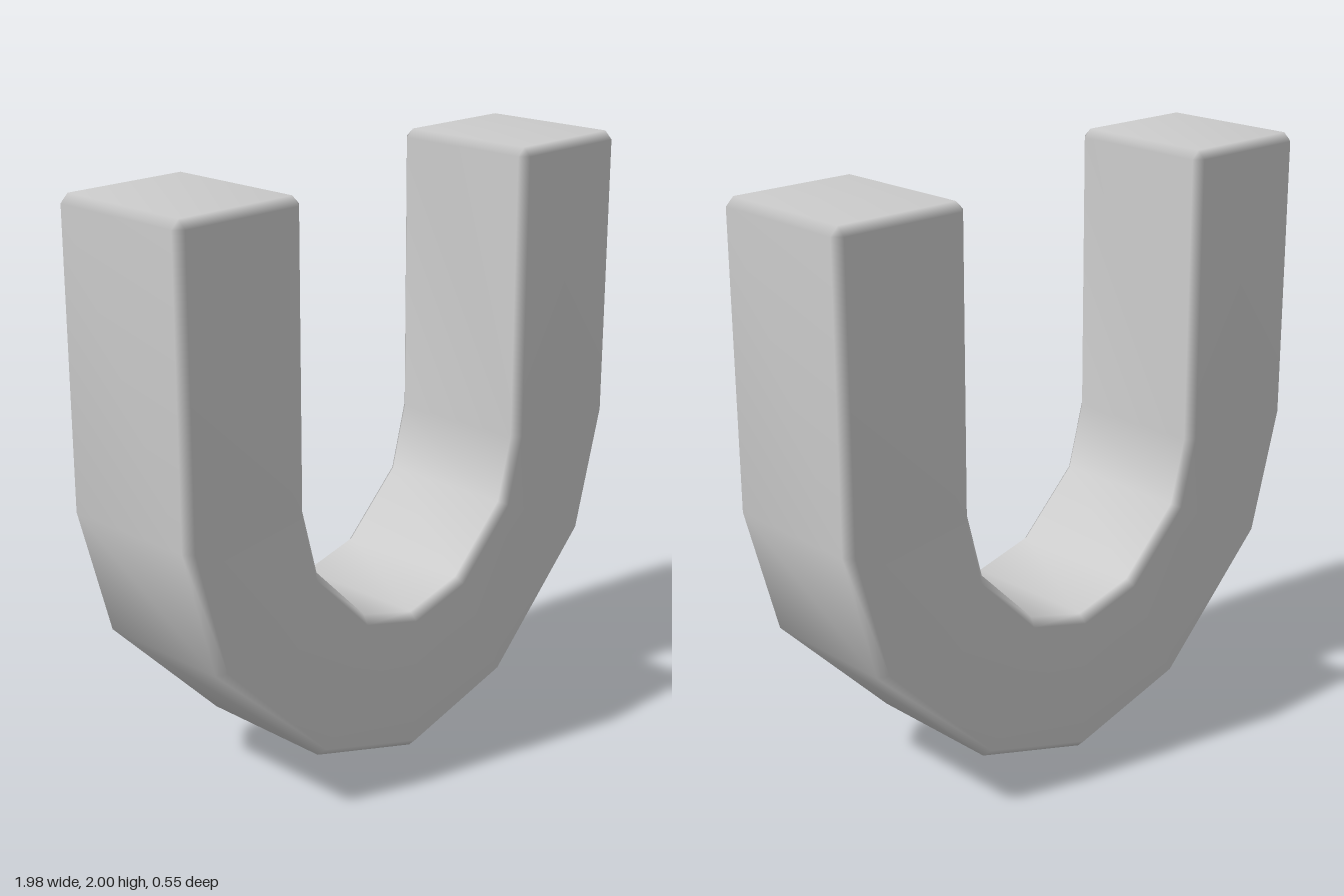
import * as THREE from 'three';
import { mergeVertices } from 'three/addons/utils/BufferGeometryUtils.js';

const DEPTH = 0.277; // half depth
const BEVEL = 0.028;
const TOP = 2;

// Stations down the +x arm to the bottom: [outer x, outer y, inner x, inner y]
const half = [
  [0.992, TOP - BEVEL, 0.5, TOP - BEVEL],
  [0.992, 1, 0.5, 1],
  [0.873, 0.563, 0.44, 0.777],
  [0.441, 0.13, 0.224, 0.562],
  [0, 0, 0, 0.502],
];

// Chamfered rectangular section spanning inner to outer point
function section([ox, oy, ix, iy]) {
  const o = new THREE.Vector2(ox, oy), i = new THREE.Vector2(ix, iy);
  const inset = o.clone().sub(i).setLength(BEVEL);
  const o2 = o.clone().sub(inset), i2 = i.clone().add(inset);
  const d = DEPTH, e = DEPTH - BEVEL;
  return [[o, -e], [o, e], [o2, d], [i2, d], [i, e], [i, -e], [i2, -d], [o2, -d]]
    .map(([p, z]) => [p.x, p.y, z]);
}

// End section: the same eight points drawn in to a smaller rectangle
function endSection(side) {
  const xo = side * (half[0][0] - BEVEL), xi = side * (half[0][2] + BEVEL);
  const e = DEPTH - BEVEL;
  return [[xo, -e], [xo, e], [xo, e], [xi, e], [xi, e], [xi, -e], [xi, -e], [xo, -e]]
    .map(([x, z]) => [x, TOP, z]);
}

function buildBody() {
  const mirrored = half.slice(0, -1).reverse().map(([a, b, c, d]) => [-a, b, -c, d]);
  const rings = [endSection(1), ...[...half, ...mirrored].map(section), endSection(-1)];
  const index = [];
  const last = rings.length - 1;

  // Skin between neighbouring sections
  for (let s = 0; s < last; s++) {
    for (let k = 0; k < 8; k++) {
      const n = (k + 1) % 8;
      const a = s * 8 + k, b = s * 8 + n, c = a + 8, d = b + 8;
      index.push(a, b, c, b, d, c);
    }
  }
  // Flat arm ends
  const e = last * 8;
  index.push(1, 5, 3, 1, 7, 5, e + 1, e + 3, e + 5, e + 1, e + 5, e + 7);

  let geo = new THREE.BufferGeometry();
  geo.setAttribute('position', new THREE.Float32BufferAttribute(rings.flat(2), 3));
  geo.setIndex(index);
  geo = mergeVertices(geo, 1e-5);

  // Drop triangles collapsed at the bevelled corners
  const ids = geo.index.array, kept = [];
  for (let t = 0; t < ids.length; t += 3) {
    const [a, b, c] = [ids[t], ids[t + 1], ids[t + 2]];
    if (a !== b && b !== c && c !== a) kept.push(a, b, c);
  }
  geo.setIndex(kept);
  geo.computeVertexNormals(); // area-weighted, so only the bevels look rounded
  return geo;
}

export function createModel() {
  const group = new THREE.Group();
  group.name = 'horseshoe';
  const body = new THREE.Mesh(buildBody(), new THREE.MeshStandardMaterial({ color: 0xcccccc }));
  body.name = 'horseshoeBody';
  group.add(body);
  return group;
}
